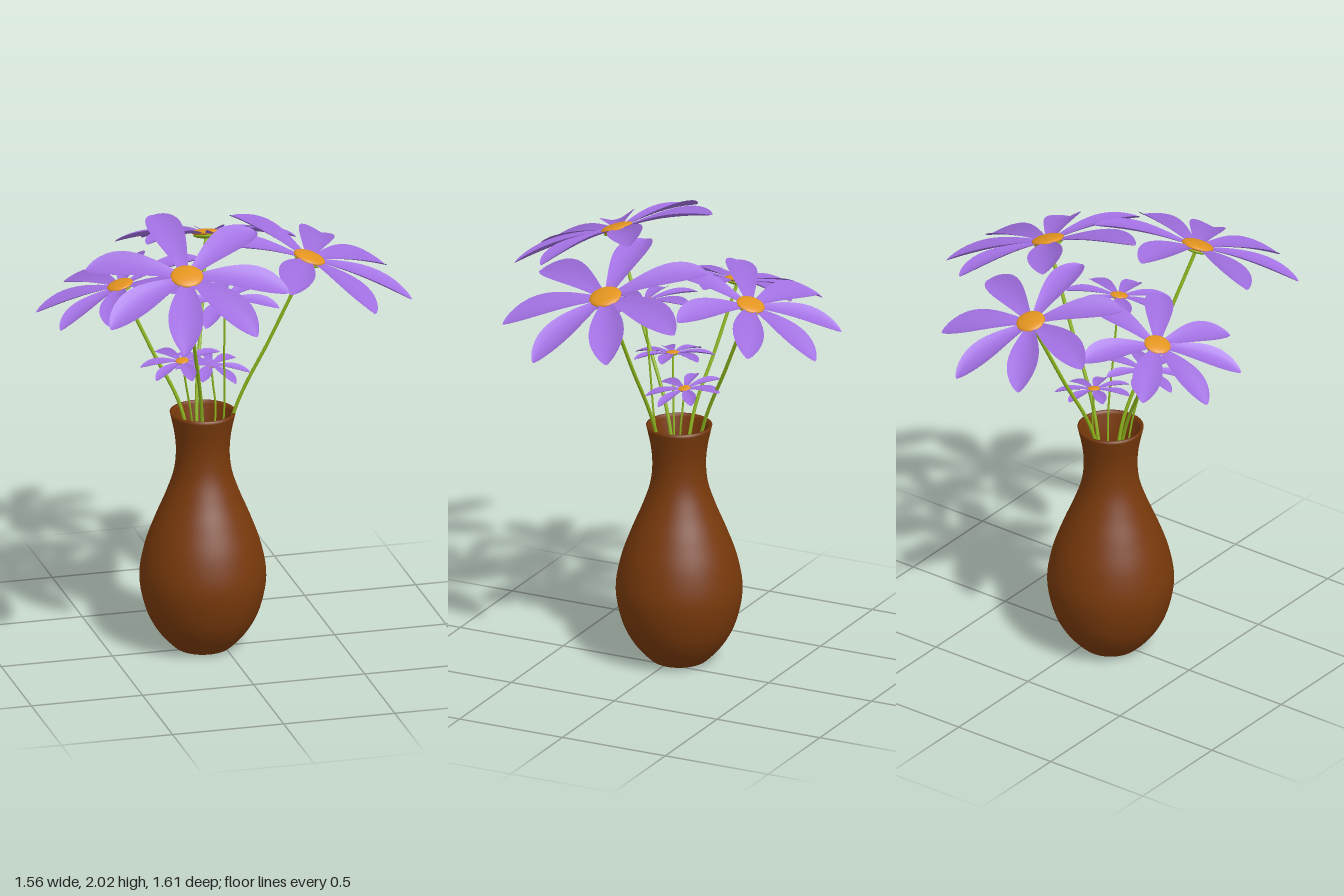
import * as THREE from 'three';

const paint = (color, side = THREE.FrontSide) => new THREE.MeshStandardMaterial({ color, side });
const materials = {
  vase: paint(0x78390b, THREE.DoubleSide),
  petal: paint(0xa06fe0, THREE.DoubleSide),
  heart: paint(0xe2941f),
  green: paint(0x8db41c),
};
const UP = new THREE.Vector3(0, 1, 0);
const VASE = new THREE.Vector3(-0.088, 0, -0.02);

function part(name, geometry, material) {
  const mesh = new THREE.Mesh(geometry, material);
  mesh.name = name;
  return mesh;
}

// Hollow vase: dimpled foot, smooth outer wall, thin rim, inner wall
function makeVase() {
  const outer = [[0, 0.02], [0.055, 0.015], [0.1, 0.002], [0.13, 0.012], [0.2, 0.09], [0.25, 0.19],
    [0.276, 0.33], [0.254, 0.47], [0.208, 0.6], [0.162, 0.71], [0.128, 0.81], [0.117, 0.9],
    [0.123, 0.99], [0.144, 1.09]];
  const curve = new THREE.SplineCurve(outer.map(p => new THREE.Vector2(...p)));
  const wall = curve.getPoints(65);
  const inside = wall.slice(18).reverse().map(p => new THREE.Vector2(p.x - 0.012, p.y));
  const floor = new THREE.Vector2(0, 0.06);
  const vase = part('vase', new THREE.LatheGeometry([...wall, ...inside, floor], 64), materials.vase);
  vase.position.copy(VASE);
  return vase;
}

// Petal: a grid bent to a cupped teardrop, turned by an angle and leaned with the flower's slope
function petalGeometry(length, angle, [sx, sz]) {
  const geometry = new THREE.PlaneGeometry(1, 1, 6, 18);
  const pos = geometry.attributes.position;
  const c = Math.cos(angle), s = Math.sin(angle);
  for (let i = 0; i < pos.count; i++) {
    const u = pos.getX(i);
    const t = (1 - Math.cos(Math.PI * (pos.getY(i) + 0.5))) / 2;
    const belly = Math.max(0, Math.sin(Math.PI * t ** 1.75)) ** 0.62;
    const width = 0.05 * (1 - t) + 0.325 * belly;
    const along = length * t, across = length * u * width;
    const x = along * c - across * s;
    const z = along * s + across * c;
    const arch = length * (0.15 * t - 0.205 * t * t + 0.24 * u * u * belly);
    pos.setXYZ(i, x, arch + sx * x + sz * z, z);
  }
  geometry.computeVertexNormals();
  return geometry;
}

// Flower head: petals, domed heart and green cup
function makeHead({ at, reach, slope, angles }) {
  const head = new THREE.Group();
  head.name = 'flowerHead';
  head.position.set(...at);
  angles.forEach(a => head.add(
    part('petal', petalGeometry(reach, THREE.MathUtils.degToRad(a), slope), materials.petal)));

  const tilt = new THREE.Quaternion().setFromUnitVectors(
    UP, new THREE.Vector3(-slope[0], 1, -slope[1]).normalize());
  const r = reach * 0.16;
  const heart = part('heart', new THREE.SphereGeometry(r, 28, 14), materials.heart);
  heart.scale.y = 0.25;
  heart.position.set(0, r * 0.14, 0).applyQuaternion(tilt);
  const cup = part('cup', new THREE.SphereGeometry(r * 0.88, 28, 14), materials.green);
  cup.scale.y = 0.25;
  cup.position.set(0, -r * 0.06, 0).applyQuaternion(tilt);
  heart.quaternion.copy(tilt);
  cup.quaternion.copy(tilt);
  head.add(heart, cup);
  return head;
}

// Stem: from inside the vase, past the rim, up to the head
function makeStem({ at, rim, reach }) {
  const top = new THREE.Vector3(...at);
  const neck = new THREE.Vector3(rim[0], 1.09, rim[1]);
  const low = new THREE.Vector3().lerpVectors(neck, VASE, 0.8).setY(0.5);
  const middle = new THREE.Vector3().lerpVectors(neck, top, 0.5);
  const curve = new THREE.CatmullRomCurve3([low, neck, middle, top]);
  return part('stem', new THREE.TubeGeometry(curve, 28, reach > 0.3 ? 0.008 : 0.0045, 8), materials.green);
}

const ring = start => Array.from({ length: 7 }, (_, i) => start + i * 360 / 7);

// Head position, petal reach, slope along x and z, petal directions, and where the stem passes the rim
const flowers = [
  { at: [-0.265, 1.867, 0.37], reach: 0.447, slope: [0.075, -0.36], rim: [-0.108, 0.04],
    angles: [21, 62, 106, 153, 204, 266, 327] },
  { at: [0.352, 1.8, 0.115], reach: 0.45, slope: [-0.33, -0.09], rim: [0.038, 0.03],
    angles: [18, 65, 115, 176, 236, 292, 333] },
  { at: [0.037, 1.75, -0.428], reach: 0.398, slope: [-0.05, 0.32], rim: [-0.085, -0.135],
    angles: [26, 86, 145, 199, 241, 288, 335] },
  { at: [-0.427, 1.66, -0.135], reach: 0.368, slope: [0.29, 0.03], rim: [-0.175, -0.04],
    angles: [55, 112, 150, 197, 243, 295, 357] },
  { at: [-0.028, 1.655, 0.12], reach: 0.24, slope: [0, -0.2], rim: [-0.015, 0.06], angles: ring(22) },
  { at: [-0.037, 1.28, -0.072], reach: 0.172, slope: [-0.13, -0.12], rim: [-0.02, -0.06], angles: ring(15) },
  { at: [-0.205, 1.365, 0.07], reach: 0.183, slope: [0.12, -0.08], rim: [-0.155, 0.04], angles: ring(40) },
];

export function createModel() {
  const model = new THREE.Group();
  model.name = 'vaseOfFlowers';
  model.add(makeVase());
  flowers.forEach(data => {
    const flower = new THREE.Group();
    flower.name = 'flower';
    flower.add(makeStem(data), makeHead(data));
    model.add(flower);
  });
  return model;
}
